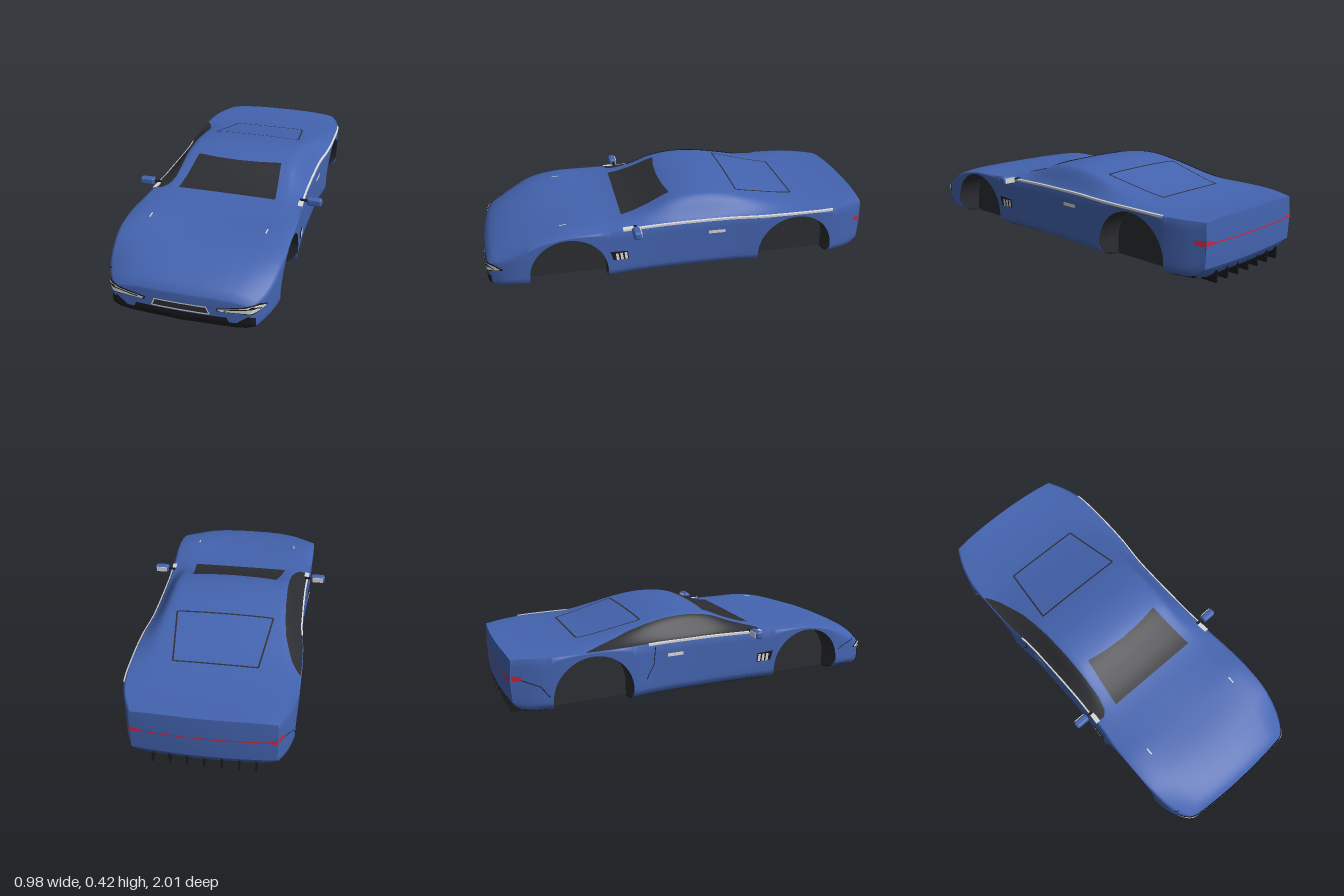
import * as THREE from 'three';
import { RoundedBoxGeometry } from 'three/addons/geometries/RoundedBoxGeometry.js';

const mat = (name, color) => {
  const m = new THREE.MeshStandardMaterial({ color, side: THREE.DoubleSide });
  m.name = name;
  return m;
};

// Body stations: z, half width, sill height, belt height, top height, cabin blend
const ROWS = [
  [-0.975, 0.335, 0.085, 0.295, 0.308, 0], [-0.93, 0.356, 0.05, 0.297, 0.306, 0], [-0.9, 0.37, 0.04, 0.298, 0.305, 0],
  [-0.8, 0.4, 0.035, 0.3, 0.306, 0], [-0.6, 0.41, 0.035, 0.302, 0.325, 0.3],
  [-0.4, 0.405, 0.035, 0.302, 0.37, 0.8], [-0.25, 0.39, 0.035, 0.302, 0.406, 1],
  [-0.1, 0.386, 0.035, 0.302, 0.422, 1], [0.05, 0.386, 0.035, 0.302, 0.403, 1],
  [0.15, 0.387, 0.035, 0.3, 0.36, 1], [0.25, 0.392, 0.035, 0.299, 0.325, 0.8],
  [0.33, 0.398, 0.035, 0.298, 0.311, 0.4], [0.45, 0.407, 0.035, 0.294, 0.303, 0],
  [0.6, 0.411, 0.035, 0.289, 0.294, 0], [0.75, 0.407, 0.035, 0.258, 0.277, 0],
  [0.85, 0.392, 0.035, 0.207, 0.252, 0], [0.92, 0.367, 0.035, 0.17, 0.222, 0],
  [0.96, 0.341, 0.042, 0.155, 0.195, 0], [0.98, 0.322, 0.055, 0.14, 0.163, 0],
];
const spline = new THREE.CubicInterpolant(ROWS.map(r => r[0]), ROWS.flatMap(r => r.slice(1)), 5);
const station = z => {
  const [W, S, B, T, k] = spline.evaluate(z);
  return { z, W, S, B, T, k };
};

// Cabin cross-section: fraction of half width, fraction of height above the belt
const CABIN = [[1, 0], [0.97, 0.06], [0.94, 0.16], [0.9, 0.33], [0.86, 0.52], [0.82, 0.7], [0.78, 0.83],
  [0.74, 0.89], [0.68, 0.92], [0.5, 0.965], [0.25, 0.99], [0, 1]];
const ARCHES = [{ c: 0.585, r: 0.195 }, { c: -0.595, r: 0.2 }];
const ARCH_Y = 0.085, WELL_X = 0.27, FLOOR = 0.012;

// Bows the nose and tail outward along the centre line
const bow = (x, y, { z, W }) => {
  const f = Math.min(1, Math.max(0, (Math.abs(z) - 0.8) / 0.18));
  return [x, y, z + Math.sign(z) * 0.02 * f * (1 - (x / W) ** 2)];
};
const mirrorRing = half => [...half, ...half.slice(0, -1).reverse().map(([x, y, z]) => [-x, y, z])];
// Sills tuck inward, fading out toward both ends
const tuck = s => 0.035 * (1 - Math.min(1, Math.max(0, (Math.abs(s.z) - 0.85) / 0.12)));

function skinRing(s) {
  const low = s.low ?? s.S, half = [];
  for (let i = 0; i < 9; i++) {
    const y = low + (s.B - low) * (i / 9) ** 1.6;
    const inset = s.low === undefined ? tuck(s) * Math.max(0, 1 - (y - low) / 0.03) ** 1.5 : 0;
    half.push(bow(s.W - inset, y, s));
  }
  // Front wings swell slightly above the bonnet
  const swell = 0.022 * Math.exp(-(((s.z - 0.58) / 0.15) ** 2));
  for (const [t, g] of CABIN) {
    const y = s.B + (s.T - s.B) * (g * s.k + (1 - t ** 4) * (1 - s.k)) + swell * t * t * (1 - t ** 6);
    half.push(bow(s.W * t, y, s));
  }
  return mirrorRing(half);
}
const lineRing = (s, z, y) => skinRing({ ...s, z, low: y, S: y, B: y, T: y });

function floorRing(s, flat) {
  const F = s.S - 0.023, x = s.W - tuck(s);
  const pts = s.low !== undefined ? [[WELL_X, F], [WELL_X, F], [WELL_X, F], [0, F]]
    : [[x, s.S], [x - 0.03, F + 0.009], [x - 0.075, F], [0, F]];
  return mirrorRing(pts.map(([px, y]) => bow(px, flat ? s.S : y, s))).reverse();
}

function loft(rings, flat) {
  const n = rings[0].length, index = [];
  for (let i = 0; i < rings.length - 1; i++) for (let j = 0; j < n - 1; j++) {
    const a = i * n + j, b = a + n;
    index.push(a, a + 1, b, b, a + 1, b + 1);
  }
  let g = new THREE.BufferGeometry();
  g.setAttribute('position', new THREE.Float32BufferAttribute(rings.flat(2), 3));
  g.setIndex(index);
  if (flat) g = g.toNonIndexed();
  g.computeVertexNormals();
  return g;
}

export function createModel() {
  const car = new THREE.Group();
  car.name = 'sportsCar';
  const paint = mat('bluePaint', 0x4464b0), glass = mat('darkGlass', 0x2c2d32), black = mat('blackTrim', 0x1a1a1d),
    silver = mat('silverTrim', 0xd6d6d6), red = mat('redTrim', 0xcc2438);
  const add = (name, geo, m, x = 0, y = 0, z = 0) => {
    const mesh = new THREE.Mesh(geo, m);
    mesh.name = name;
    mesh.position.set(x, y, z);
    car.add(mesh);
    return mesh;
  };

  // Stations, with denser ones around each wheel opening
  const list = [];
  for (let z = -0.975; z < 0.979; z += 0.025) {
    if (!ARCHES.some(a => Math.abs(z - a.c) < a.r + 0.004)) list.push(station(z));
  }
  list.push(station(0.965), station(0.98));
  for (const { c, r } of ARCHES) {
    const well = [];
    for (let i = 0; i <= 28; i++) {
      const a = Math.PI * (1 - i / 28), s = station(c + r * Math.cos(a));
      s.low = ARCH_Y + r * Math.sin(a);
      list.push(s);
      well.push(s);
    }
    list.push(station(c - r - 0.0005), station(c + r + 0.0005));
    // Wheel wells: arch roof, inner wall and closed ends
    for (const sx of [1, -1]) {
      const ring = s => [[sx * s.W, s.low, s.z], [sx * WELL_X, s.low, s.z], [sx * WELL_X, FLOOR, s.z]];
      const end = s => [[sx * (s.W - 0.035), 0.035, s.z], [sx * WELL_X, FLOOR, s.z], [sx * WELL_X, FLOOR, s.z]];
      add('wheelWell', loft([end(well[0]), ...well.map(ring), end(well[28])], true), glass);
    }
  }
  list.sort((a, b) => a.z - b.z);
  const tail = list[0], nose = list[list.length - 1];

  // Painted shell, rear panel, rear valance and floor
  const shell = add('bodyShell', loft([...list.map(s => skinRing(s)), lineRing(nose, 0.98, 0.11), lineRing(nose, 0.98, nose.S)]), paint);
  const rear = add('rearPanel', loft([lineRing(tail, -0.975, tail.S), lineRing(tail, -0.98, 0.19), skinRing(tail)]), paint);
  add('rearValance', loft([floorRing(tail, true), floorRing(list[1]), floorRing(list[2])]), paint);
  const floor = add('floor', loft([...list.slice(2, -1).map(s => floorRing(s)), floorRing(nose, true)], true), black);

  // Details laid onto the body: a patch ruled between two edges
  const ray = new THREE.Raycaster();
  const VIEWS = {
    front: (u, v) => [[u, v, 3], [0, 0, -1]], back: (u, v) => [[u, v, -3], [0, 0, 1]], top: (u, v) => [[u, 3, v], [0, -1, 0]],
    left: (u, v) => [[3, v, u], [-1, 0, 0]], right: (u, v) => [[-3, v, u], [1, 0, 0]],
  };
  const along = (pts, t) => {
    const f = t * (pts.length - 1), i = Math.min(Math.floor(f), pts.length - 2), k = f - i;
    return [0, 1].map(d => pts[i][d] * (1 - k) + pts[i + 1][d] * k);
  };
  function patch(name, m, view, A, B, n = 12, across = 3, lift = 0.004) {
    const rings = [];
    let depth = 2.6;
    for (let i = 0; i <= n; i++) {
      const a = along(A, i / n), b = along(B, i / n), ring = [];
      for (let j = 0; j <= across; j++) {
        const [o, d] = VIEWS[view](...along([a, b], j / across)).map(p => new THREE.Vector3(...p));
        ray.set(o, d);
        const hit = ray.intersectObjects([shell, rear, floor])[0];
        if (hit) depth = hit.distance;
        const p = o.addScaledVector(d, depth);
        p.addScaledVector(hit ? hit.face.normal : d, hit ? lift : -lift);
        ring.push(p.toArray());
      }
      rings.push(ring);
    }
    add(name, loft(rings), m);
  }
  function stroke(name, m, view, pts, w, lift) {
    for (let i = 0; i < pts.length - 1; i++) {
      const [p, q] = [pts[i], pts[i + 1]], len = Math.hypot(q[0] - p[0], q[1] - p[1]);
      const nx = -(q[1] - p[1]) / len * w / 2, ny = (q[0] - p[0]) / len * w / 2;
      patch(name, m, view, [[p[0] + nx, p[1] + ny], [q[0] + nx, q[1] + ny]], [[p[0] - nx, p[1] - ny], [q[0] - nx, q[1] - ny]], 16, 1, lift);
    }
  }
  const flip = pts => pts.map(([u, v]) => [-u, v]);

  // Glass
  patch('windscreen', glass, 'top', [[-0.228, 0.045], [-0.12, 0.06], [0, 0.066], [0.12, 0.06], [0.228, 0.045]],
    [[-0.258, 0.3], [0.258, 0.3]], 24, 16);
  const windowTop = [[-0.4, -0.63], [-0.382, -0.6], [-0.358, -0.55], [-0.34, -0.49], [-0.316, -0.4], [-0.305, -0.3], [-0.298, -0.2],
    [-0.295, -0.05], [-0.297, 0.1], [-0.303, 0.22], [-0.32, 0.28], [-0.345, 0.308]];
  patch('sideWindow', glass, 'top', windowTop, windowTop.map(([, z]) => [-station(z).W + 0.004, z]), 55, 12);
  stroke('rearHatchSeam', glass, 'top', [[-0.205, -0.625], [0.205, -0.625], [0.245, -0.305], [-0.245, -0.305], [-0.205, -0.625]], 0.008);

  // Panel seams on the right flank
  stroke('doorSeam', black, 'right', [[-0.28, 0.29], [-0.29, 0.2], [-0.33, 0.13]], 0.004);
  stroke('frontWingSeam', black, 'right', [[0.79, 0.145], [0.84, 0.168], [0.91, 0.182]], 0.004);
  stroke('rearWingSeam', black, 'right', [[-0.94, 0.2], [-0.85, 0.165], [-0.81, 0.11]], 0.004);

  // Nose: grille, plate frame
  patch('grille', black, 'front', [[-0.212, 0.082], [0.212, 0.082]], [[-0.238, 0.032], [0.238, 0.032]], 20, 6);
  patch('platePanel', glass, 'front', [[-0.12, 0.122], [0.12, 0.122]], [[-0.132, 0.092], [0.132, 0.092]], 20, 4);
  stroke('plateFrame', silver, 'front', [[-0.12, 0.124], [0.12, 0.124], [0.135, 0.09], [-0.135, 0.09], [-0.12, 0.124]], 0.006, 0.006);

  for (const s of [1, -1]) {
    const m = s > 0 ? p => p : flip, side = s > 0 ? 'left' : 'right';
    // Headlamps and corner intakes
    patch('headlampSurround', black, 'front', m([[0.166, 0.124], [0.35, 0.156], [0.372, 0.138]]),
      m([[0.17, 0.109], [0.322, 0.109], [0.372, 0.13]]), 20, 5);
    patch('headlamp', silver, 'front', m([[0.17, 0.121], [0.348, 0.15], [0.367, 0.138]]),
      m([[0.182, 0.112], [0.316, 0.115], [0.366, 0.131]]), 20, 5, 0.007);
    stroke('headlampDivider', black, 'front', m([[0.2, 0.121], [0.335, 0.143], [0.352, 0.134]]), 0.005, 0.0095);
    patch('cornerIntake', black, 'front', m([[0.24, 0.042], [0.265, 0.066], [0.308, 0.098], [0.336, 0.088]]),
      m([[0.24, 0.036], [0.27, 0.036], [0.305, 0.036], [0.336, 0.038]]), 15, 5);
    patch('washerNozzle', silver, 'top', m([[0.287, 0.58], [0.287, 0.615]]), m([[0.294, 0.58], [0.294, 0.615]]), 2, 1);

    // Side vent with slats, door handle, tail lamp
    patch('sideVent', black, side, [[0.285, 0.135], [0.365, 0.14]], [[0.29, 0.182], [0.378, 0.19]], 4, 2);
    for (let i = 0; i < 3; i++) {
      const z = 0.29 + i * 0.022;
      patch('ventSlat', silver, side, [[z, 0.139], [z + 0.014, 0.139]], [[z + 0.005, 0.178], [z + 0.019, 0.178]], 1, 2, 0.007);
    }
    patch('doorHandle', silver, side, [[-0.215, 0.229], [-0.13, 0.229]], [[-0.215, 0.246], [-0.13, 0.246]], 4, 1, 0.006);
    patch('tailLampSide', red, side, [[-0.973, 0.187], [-0.932, 0.196]], [[-0.973, 0.218], [-0.932, 0.214]], 4, 2);
    patch('tailLampEnd', red, 'back', m([[0.285, 0.197], [0.332, 0.189]]), m([[0.285, 0.204], [0.332, 0.216]]), 4, 2);

    // Belt moulding, flaring into a wider foot under the mirror; shorter beside the window
    const belt = [];
    for (let i = 0; i <= (s > 0 ? 44 : 25); i++) {
      const b = station(0.31 - i * 0.025), x = s * (b.W + 0.003), foot = i < 3 ? 0.024 : 0.008;
      belt.push([[x, b.B - 0.005, b.z], [x, b.B + 0.005, b.z], [x - s * foot, b.B + 0.0075, b.z]]);
    }
    add('beltMoulding', loft(belt, true), silver);

    // Door mirror
    add('mirrorHousing', new RoundedBoxGeometry(0.077, 0.04, 0.038, 3, 0.012), paint, s * 0.45, 0.307, 0.25);
    add('mirrorGlass', new THREE.BoxGeometry(0.06, 0.027, 0.004), silver, s * 0.45, 0.307, 0.23);
    add('mirrorStalk', new THREE.BoxGeometry(0.05, 0.008, 0.014), black, s * 0.4, 0.307, 0.247);
  }
  patch('tailLightBar', red, 'back', [[-0.33, 0.197], [0.33, 0.197]], [[-0.33, 0.203], [0.33, 0.203]], 24, 1);

  // Front splitter and rear diffuser fins
  add('splitter', new THREE.BoxGeometry(0.56, 0.012, 0.09), black, 0, 0.008, 0.875);
  add('splitterEdge', new THREE.BoxGeometry(0.55, 0.006, 0.008), red, 0, 0.008, 0.924);
  for (let i = -3; i <= 3; i++) {
    add('diffuserFin', new THREE.BoxGeometry(0.008, 0.06, 0.085), black, i * 0.08, 0.03, -0.932);
  }
  return car;
}
